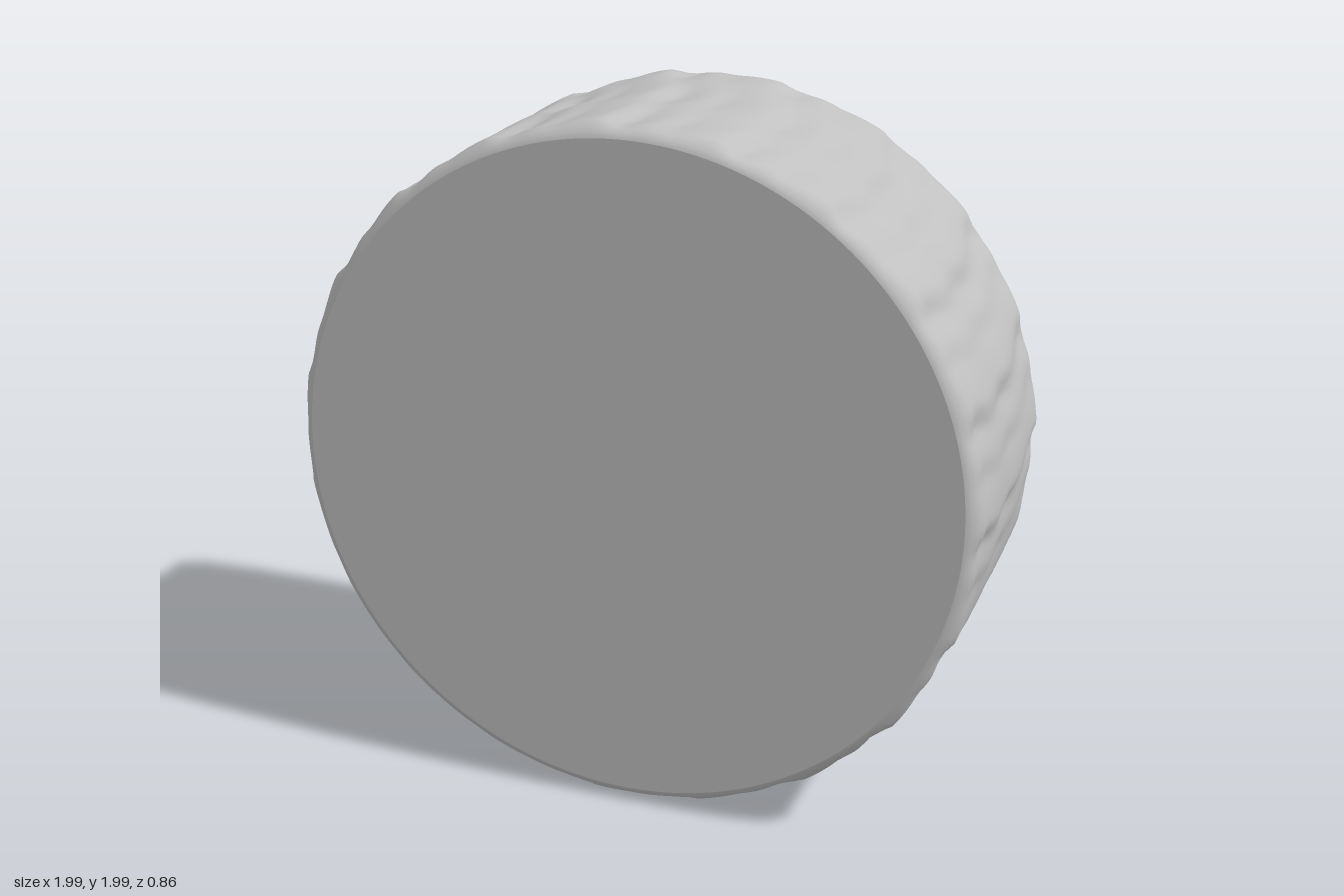
import * as THREE from 'three';

const LUGS = 19, STEPS = 16, SEGS = LUGS * STEPS;

// Ratchet wave: steep rise after each groove, then a gentle fall. Returns groove depth 0..1.
function ratchet(p) {
  p -= Math.floor(p);
  return p < 0.18 ? 1 - p / 0.18 : Math.pow((p - 0.18) / 0.82, 2);
}

// Two grooves per lug, slanted across the width and stepped into three bands.
function grooveDepth(angle, z) {
  const slant = -0.12 * z - 0.025 * Math.cos(z * 8) + 0.012 * Math.sin(z * 22);
  const p = (angle - slant) * LUGS / (Math.PI * 2) + 0.2;
  const band = 0.75 + 0.25 * Math.cos(z * 20);
  const second = ratchet(p + 0.42);
  return (0.026 * ratchet(p) + 0.012 * second) * band;
}

// Tread skin lofted from rings [z, radius, groove strength].
function treadGeometry() {
  const rings = [[0.43, 0.955, 0], [0.424, 0.972, 0.15], [0.405, 0.988, 0.6], [0.385, 1, 1]];
  for (let i = 1; i <= 18; i++) rings.push([0.385 - i * 0.0385, 1, 1]);
  rings.push([-0.33, 0.993, 0.6], [-0.35, 0.975, 0]);
  const pos = [], idx = [];
  rings.forEach(([z, r, k], j) => {
    for (let i = 0; i < SEGS; i++) {
      const a = i / SEGS * Math.PI * 2;
      const rad = r - k * grooveDepth(a, z);
      pos.push(Math.cos(a) * rad, Math.sin(a) * rad, z);
      if (j === 0) continue;
      const n = (i + 1) % SEGS, a0 = (j - 1) * SEGS, b0 = j * SEGS;
      idx.push(a0 + i, b0 + i, a0 + n, a0 + n, b0 + i, b0 + n);
    }
  });
  const g = new THREE.BufferGeometry();
  g.setAttribute('position', new THREE.Float32BufferAttribute(pos, 3));
  g.setIndex(idx);
  g.computeVertexNormals();
  return g;
}

export function createModel() {
  const model = new THREE.Group();
  const wheel = new THREE.Group();
  wheel.name = 'wheel';
  wheel.position.y = 1;
  model.add(wheel);

  const grey = new THREE.MeshStandardMaterial({ color: 0xc0c0c0 });
  grey.name = 'plain grey';

  const add = (name, geometry, x = 0, y = 0, z = 0, parent = wheel) => {
    const m = new THREE.Mesh(geometry, grey);
    m.name = name;
    m.position.set(x, y, z);
    parent.add(m);
    return m;
  };

  // Tyre with flat side walls
  add('tread', treadGeometry());
  add('frontWall', new THREE.CircleGeometry(0.955, SEGS), 0, 0, 0.43);
  add('backWall', new THREE.CircleGeometry(0.975, SEGS).rotateY(Math.PI), 0, 0, -0.35);

  // Hub on the back: flange, centre cap and a ring of bolts
  const disc = (r0, r1, depth, sides) =>
    new THREE.CylinderGeometry(r0, r1, depth, sides).rotateX(-Math.PI / 2);
  add('hubFlange', disc(0.28, 0.28, 0.03, 64), 0, 0, -0.362);
  add('hubCap', disc(0.174, 0.174, 0.08, 64), 0, 0, -0.39);

  const bolts = new THREE.Group();
  bolts.name = 'hubBolts';
  wheel.add(bolts);
  const boltShape = disc(0.018, 0.032, 0.025, 6).toNonIndexed();
  boltShape.computeVertexNormals();
  for (let i = 0; i < 8; i++) {
    const a = i * Math.PI / 4;
    add('bolt', boltShape, Math.cos(a) * 0.232, Math.sin(a) * 0.232, -0.386, bolts).rotation.z = a;
  }
  return model;
}
